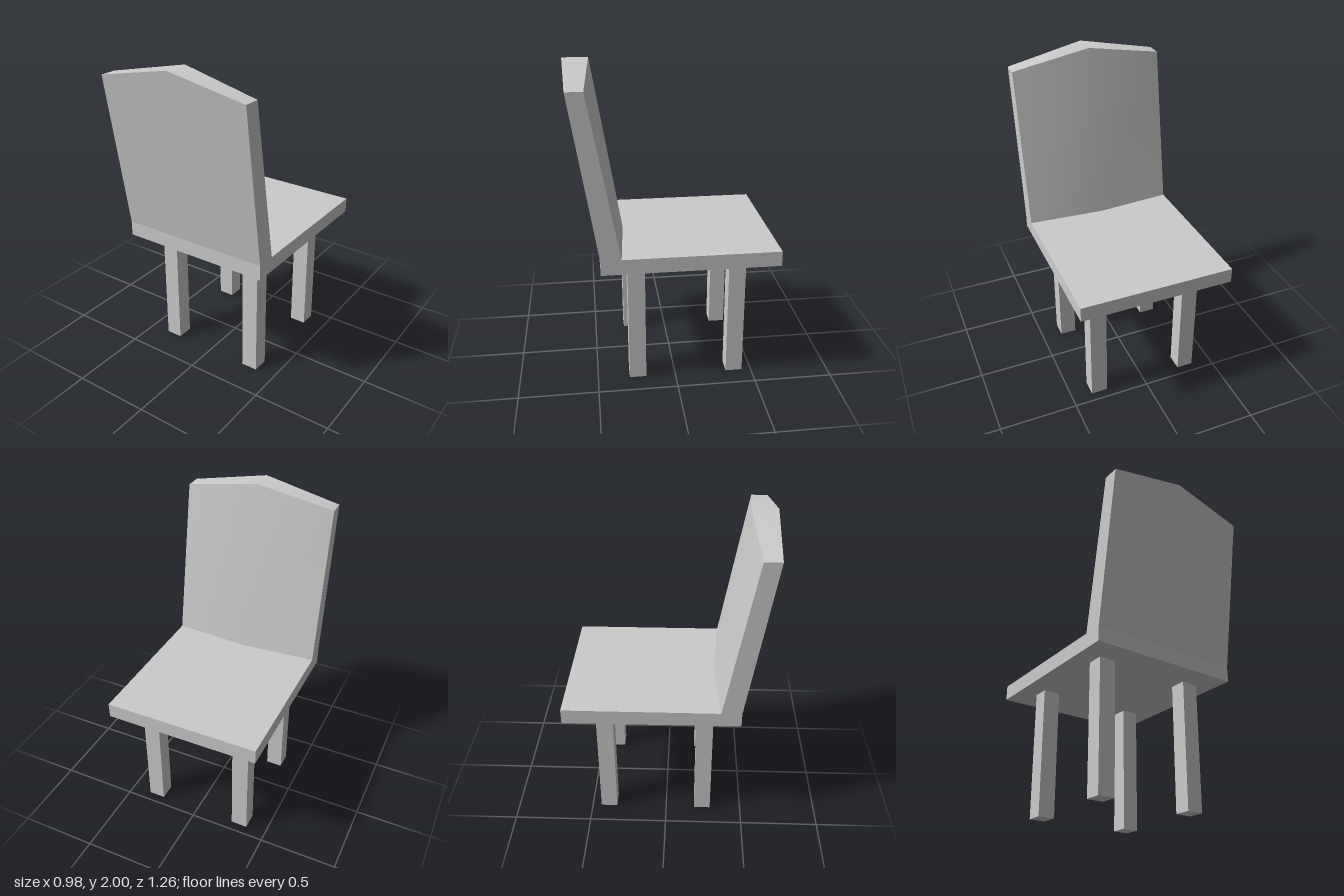
import * as THREE from 'three';

const material = new THREE.MeshStandardMaterial({ color: 0xcccccc });

// Side profile of seat and backrest as [y, z], with the inner face and top edge varying across the width.
function profile(x, innerFoot, topY, innerTop, outerTop) {
  return [
    [0.81, -0.63], [0.905, -0.63], [0.905, innerFoot], [topY, innerTop],
    [topY, outerTop], [0.905, 0.46], [0.81, 0.46],
  ].map(([y, z]) => [x, y, z]);
}

function seatAndBackGeometry() {
  const sections = [
    profile(-0.49, 0.335, 1.9, 0.512, 0.615),
    profile(0, 0.3, 2, 0.475, 0.632),
    profile(0.49, 0.335, 1.9, 0.512, 0.615),
  ];
  const positions = [], index = [];
  const add = (p) => positions.push(...p) / 3 - 1;
  const count = sections[0].length;

  // Strips across the width: smooth over the middle, sharp along the profile corners
  for (let i = 0; i < count; i++) {
    const rows = sections.map((s) => [add(s[i]), add(s[(i + 1) % count])]);
    for (let k = 0; k < rows.length - 1; k++) {
      const [a0, a1] = rows[k], [b0, b1] = rows[k + 1];
      index.push(a0, a1, b0, a1, b1, b0);
    }
  }

  // Flat side caps, fanned from the inner corner
  for (const [section, flip] of [[sections[0], true], [sections[2], false]]) {
    const ids = section.map(add);
    for (let k = 1; k < count - 1; k++) {
      const a = ids[2], b = ids[(2 + k) % count], c = ids[(3 + k) % count];
      index.push(a, flip ? c : b, flip ? b : c);
    }
  }

  const geometry = new THREE.BufferGeometry();
  geometry.setAttribute('position', new THREE.Float32BufferAttribute(positions, 3));
  geometry.setIndex(index);
  geometry.computeVertexNormals();
  return geometry;
}

export function createModel() {
  const chair = new THREE.Group();
  chair.name = 'chair';

  const seat = new THREE.Mesh(seatAndBackGeometry(), material);
  seat.name = 'seatAndBackrest';
  chair.add(seat);

  // Four square legs
  const legGeometry = new THREE.BoxGeometry(0.107, 0.81, 0.107);
  for (const [side, x] of [['left', 0.314], ['right', -0.314]]) {
    for (const [end, z] of [['Backrest', 0.243], ['Seat', -0.387]]) {
      const leg = new THREE.Mesh(legGeometry, material);
      leg.name = `${side}${end}EndLeg`;
      leg.position.set(x, 0.405, z);
      chair.add(leg);
    }
  }
  return chair;
}
